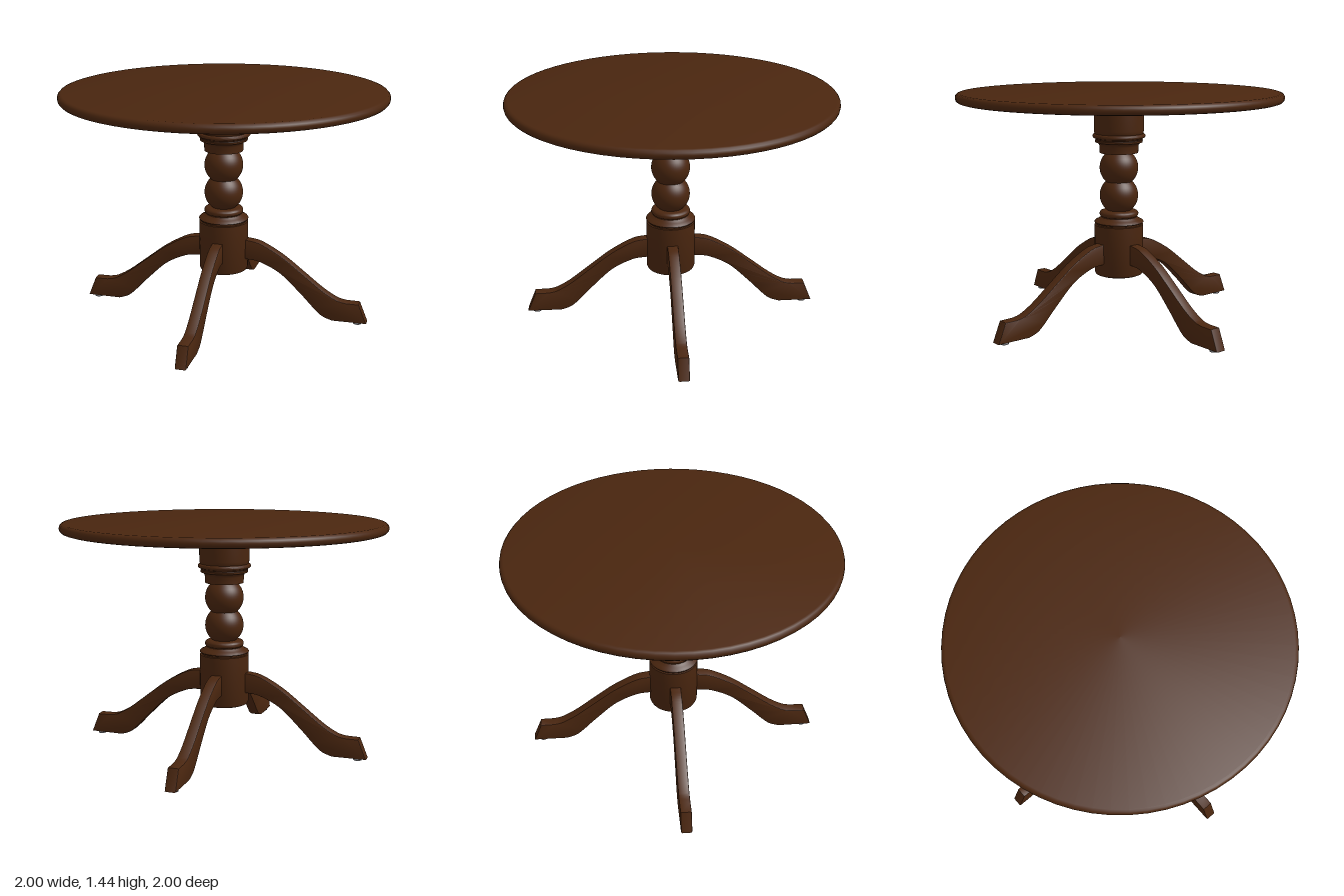
import * as THREE from 'three';
import { toCreasedNormals } from 'three/addons/utils/BufferGeometryUtils.js';

const wood = new THREE.MeshStandardMaterial({ name: 'dark brown wood', color: 0x4a260f });
const metal = new THREE.MeshStandardMaterial({ name: 'grey metal', color: 0x77777a });
const slotDark = new THREE.MeshStandardMaterial({ name: 'dark slot', color: 0x202020 });

function add(parent, name, geometry, material, x = 0, y = 0, z = 0) {
  const mesh = new THREE.Mesh(geometry, material);
  mesh.name = name;
  mesh.position.set(x, y, z);
  parent.add(mesh);
  return mesh;
}

// Turned part from [radius, height] pairs running upwards
function turned(points, segments = 48) {
  const profile = points.map(([r, y]) => new THREE.Vector2(r, y));
  return toCreasedNormals(new THREE.LatheGeometry(profile, segments), 0.6);
}

// Half-circle style bulge of a profile between two heights
function bulge(cy, r, y0, y1, base = 0, n = 12) {
  const out = [];
  for (let i = 0; i <= n; i++) {
    const y = y0 + (y1 - y0) * i / n;
    out.push([base + Math.sqrt(Math.max(0, r * r - (y - cy) ** 2)), y]);
  }
  return out;
}

// Side outline of a leg: x runs outwards from the column
function legGeometry() {
  const bevel = 0.007;
  const v = (list) => list.map(([x, y]) => new THREE.Vector2(x, y));
  const s = new THREE.Shape();
  s.moveTo(0.1, 0.377);
  s.splineThru(v([[0.16, 0.374], [0.25, 0.36], [0.38, 0.295], [0.51, 0.175],
    [0.6, 0.082], [0.65, 0.04], [0.71, 0.018]]));
  s.lineTo(0.915, 0.018);
  s.lineTo(0.868, 0.13);
  s.lineTo(0.79, 0.131);
  s.splineThru(v([[0.73, 0.145], [0.64, 0.197], [0.51, 0.297], [0.38, 0.395],
    [0.25, 0.467], [0.17, 0.486], [0.1, 0.488]]));
  s.closePath();
  const depth = 0.054;
  const g = new THREE.ExtrudeGeometry(s, {
    depth, curveSegments: 24, bevelEnabled: true,
    bevelThickness: bevel, bevelSize: bevel, bevelSegments: 2,
  });
  g.translate(0, 0, -depth / 2);
  return toCreasedNormals(g, 0.5);
}

export function createModel() {
  const model = new THREE.Group();
  model.name = 'pedestalTable';

  // Round top with softened edge
  add(model, 'tableTop', turned([
    [0, 1.38], [0.975, 1.38], [0.988, 1.384], [0.997, 1.394], [1, 1.408],
    [0.997, 1.422], [0.988, 1.432], [0.975, 1.436], [0, 1.436],
  ], 64), wood);

  const pedestal = new THREE.Group();
  pedestal.name = 'pedestal';
  pedestal.position.set(-0.006, 0, 0.006);
  model.add(pedestal);

  // Mounting plate under the top
  add(pedestal, 'mountingPlate', new THREE.CylinderGeometry(0.308, 0.308, 0.037, 48), wood, 0, 1.3635, 0);

  // Turned column: base drum, rings, two balls, collar and upper drum
  add(pedestal, 'column', turned([
    [0, 0.285], [0.135, 0.285], [0.147, 0.29], [0.153, 0.303], [0.153, 0.605], [0.143, 0.607],
    [0.143, 0.614], [0.152, 0.617], [0.155, 0.623], [0.15, 0.63], [0.132, 0.638], [0.12, 0.648],
    [0.113, 0.654], ...bulge(0.674, 0.02, 0.654, 0.694, 0.102, 8),
    [0.075, 0.697], ...bulge(0.79, 0.12, 0.702, 0.877),
    ...bulge(0.965, 0.12, 0.879, 1.056),
    [0.12, 1.058], [0.121, 1.1], [0.125, 1.112], [0.135, 1.12], [0.147, 1.124], [0.148, 1.136],
    [0.143, 1.14], [0.15, 1.148], ...bulge(1.163, 0.014, 1.149, 1.177, 0.15, 8),
    [0.153, 1.184], [0.155, 1.2], [0.155, 1.345],
  ]), wood);

  // Four sets of leg, foot pad and plate screw
  const leg = legGeometry();
  const pad = new THREE.CylinderGeometry(0.026, 0.026, 0.012, 20);
  const head = turned([[0, 1.324], [0.012, 1.326], [0.022, 1.331], [0.029, 1.339], [0.03, 1.346]], 20);
  const slot = new THREE.BoxGeometry(0.026, 0.004, 0.005);
  for (let i = 0; i < 4; i++) {
    const arm = new THREE.Group();
    arm.name = 'legAssembly' + (i + 1);
    arm.rotation.y = THREE.MathUtils.degToRad(38 + 90 * i);
    pedestal.add(arm);
    add(arm, 'leg', leg, wood);
    add(arm, 'footPad', pad, metal, 0.865, 0.006, 0);
    add(arm, 'screwHead', head, metal, 0.25, 0, 0);
    add(arm, 'screwSlot', slot, slotDark, 0.25, 1.325, 0);
    add(arm, 'screwSlotCross', slot, slotDark, 0.25, 1.325, 0).rotation.y = Math.PI / 2;
  }
  return model;
}
